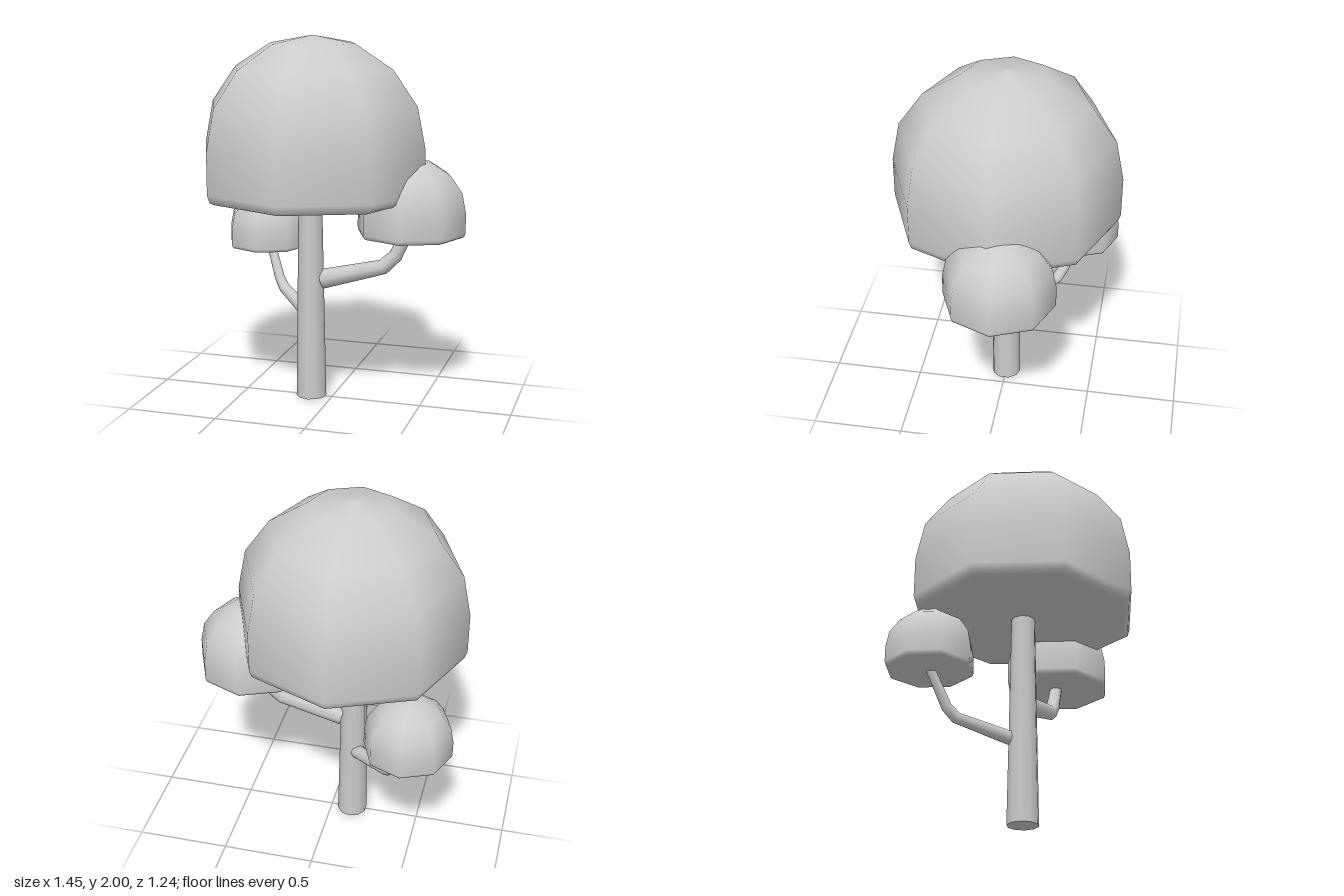
import * as THREE from 'three';

const material = new THREE.MeshStandardMaterial({ color: 0xcccccc });
const V = (x, y, z) => new THREE.Vector3(x, y, z);

function addMesh(parent, name, geometry) {
  const mesh = new THREE.Mesh(geometry, material);
  mesh.name = name;
  parent.add(mesh);
  return mesh;
}

// Eight-sided dome with a flat underside and a softly rounded lower rim.
// Profile is [radius, height] as a fraction of the dome's radius and height.
const domeProfile = [
  [0, 0], [0.92, 0], [0.945, 0], [0.98, 0.016], [1, 0.06], [1, 0.32],
  [0.927, 0.58], [0.71, 0.80], [0.38, 0.95], [0, 1],
];

function addCanopy(parent, name, radius, height, x, y, z) {
  const points = domeProfile.map(([r, h]) => new THREE.Vector2(r * radius, h * height));
  addMesh(parent, name, new THREE.LatheGeometry(points, 8)).position.set(x, y, z);
}

// Tapered limb: a capped cylinder whose rings are moved onto the path points.
function limbGeometry(points, radii, sides) {
  const last = points.length - 1;
  const geometry = new THREE.CylinderGeometry(1, 1, 1, sides, last);
  const position = geometry.attributes.position;
  const normal = geometry.attributes.normal;
  const up = V(0, 1, 0);
  const turns = points.map((p, i) => {
    const tangent = V(0, 0, 0);
    if (i > 0) tangent.add(p.clone().sub(points[i - 1]).normalize());
    if (i < last) tangent.add(points[i + 1].clone().sub(p).normalize());
    return new THREE.Quaternion().setFromUnitVectors(up, tangent.normalize());
  });
  const v = V(0, 0, 0);
  for (let k = 0; k < position.count; k++) {
    const i = Math.round((position.getY(k) + 0.5) * last);
    v.set(position.getX(k) * radii[i], 0, position.getZ(k) * radii[i]);
    v.applyQuaternion(turns[i]).add(points[i]);
    position.setXYZ(k, v.x, v.y, v.z);
    v.fromBufferAttribute(normal, k).applyQuaternion(turns[i]);
    normal.setXYZ(k, v.x, v.y, v.z);
  }
  return geometry;
}

export function createModel() {
  const tree = new THREE.Group();
  tree.name = 'tree';

  // Trunk, running up into the main canopy
  addMesh(tree, 'trunk', limbGeometry([V(-0.12, 0, 0), V(-0.123, 1.2, 0)], [0.083, 0.063], 10));

  // Bent branches
  addMesh(tree, 'leftBranch', limbGeometry(
    [V(-0.06, 0.672, -0.012), V(0.28, 0.76, -0.03), V(0.347, 0.825, -0.04), V(0.42, 0.98, -0.05)],
    [0.055, 0.042, 0.038, 0.033], 8));
  addMesh(tree, 'rightBranch', limbGeometry(
    [V(-0.13, 0.452, -0.025), V(-0.365, 0.535, -0.26), V(-0.405, 0.585, -0.295), V(-0.485, 0.79, -0.36)],
    [0.04, 0.032, 0.03, 0.026], 8));

  // Foliage domes
  addCanopy(tree, 'mainCanopy', 0.618, 0.86, -0.107, 1.14, 0);
  addCanopy(tree, 'leftCanopy', 0.296, 0.412, 0.427, 0.945, -0.05);
  addCanopy(tree, 'rightCanopy', 0.235, 0.333, -0.49, 0.762, -0.355);

  return tree;
}
